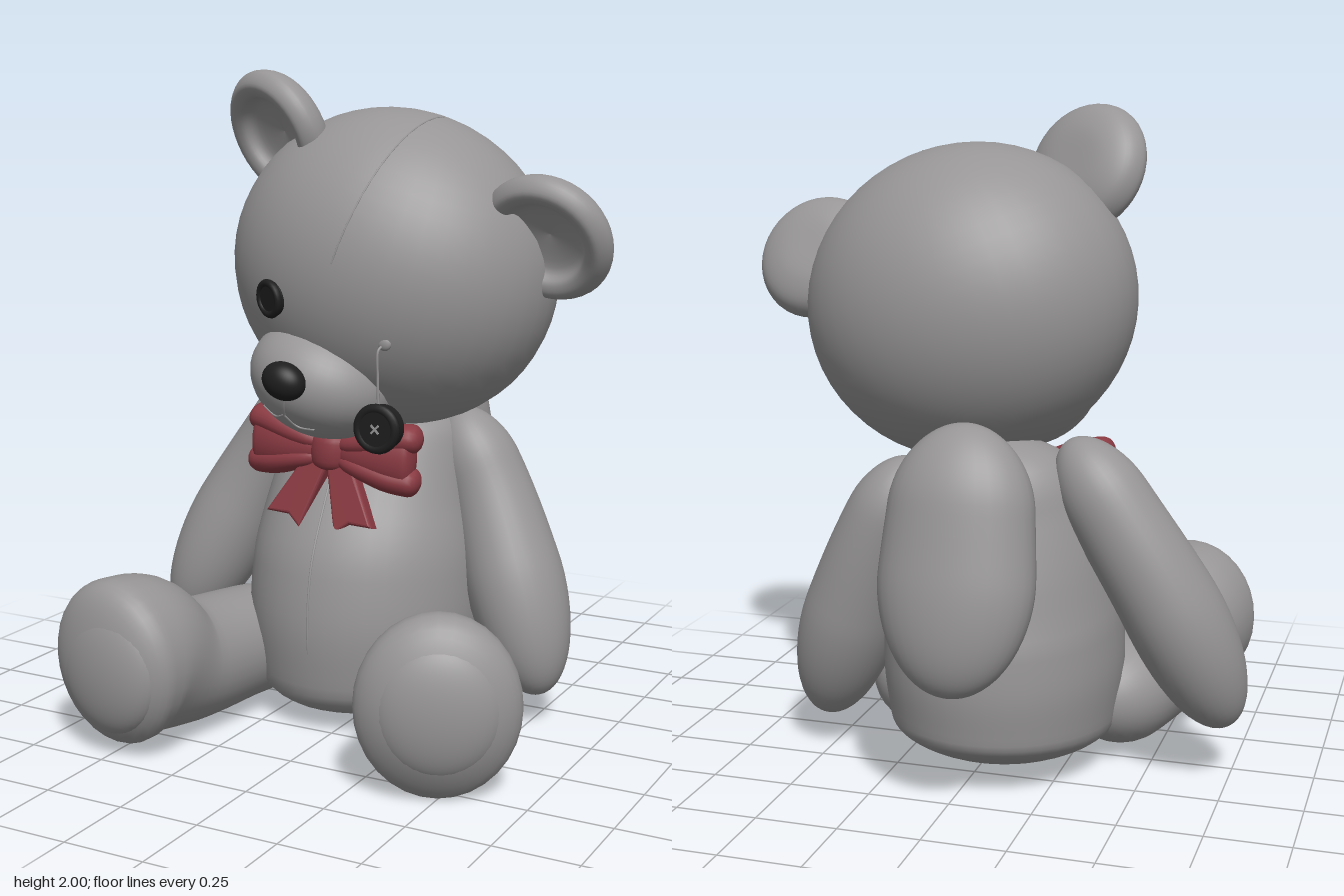
import * as THREE from 'three';

const mat = (name, color) => {
  const m = new THREE.MeshStandardMaterial({ color });
  m.name = name;
  return m;
};
const V = (x, y, z) => new THREE.Vector3(x, y, z);

export function createModel() {
  const plush = mat('grey plush', 0x979595);
  const black = mat('button black', 0x1e1e1e);
  const red = mat('bow red', 0x8a3a42);
  const bear = new THREE.Group();
  bear.name = 'teddyBear';

  const add = (parent, name, geo, material, pos = [0, 0, 0], rot = [0, 0, 0]) => {
    const m = new THREE.Mesh(geo, material);
    m.name = name;
    m.position.set(...pos);
    m.rotation.set(...rot);
    parent.add(m);
    return m;
  };
  const ball = (rx, ry, rz) => new THREE.SphereGeometry(1, 40, 28).scale(rx, ry, rz);

  // Stuffed limb: elliptical rings swept along a path, with rounded ends.
  // Each row is [x, y, z, radiusA, radiusB]; cap0 and cap1 are the rounded fractions.
  const stuffed = (rows, ref, cap0, cap1, rings = 40, sides = 32) => {
    const path = new THREE.CatmullRomCurve3(rows.map(r => V(r[0], r[1], r[2])));
    const size = new THREE.CatmullRomCurve3(rows.map(r => V(r[3], r[4], 0)));
    const pos = [], idx = [];
    for (let i = 0; i <= rings; i++) {
      const t = (1 - Math.cos(Math.PI * i / rings)) / 2;
      const c = path.getPoint(t), s = size.getPoint(t), T = path.getTangent(t);
      const U = ref.clone().cross(T).normalize(), W = T.clone().cross(U);
      const d0 = Math.max(0, 1 - t / cap0), d1 = Math.max(0, 1 - (1 - t) / cap1);
      const f = Math.sqrt(Math.max(0, 1 - d0 * d0)) * Math.sqrt(Math.max(0, 1 - d1 * d1));
      for (let j = 0; j < sides; j++) {
        const a = j / sides * Math.PI * 2;
        const p = c.clone().addScaledVector(U, s.x * f * Math.cos(a)).addScaledVector(W, s.y * f * Math.sin(a));
        pos.push(p.x, p.y, p.z);
        if (i === rings) continue;
        const k = (j + 1) % sides, n = i * sides;
        idx.push(n + j, n + k, n + sides + k, n + j, n + sides + k, n + sides + j);
      }
    }
    const g = new THREE.BufferGeometry();
    g.setAttribute('position', new THREE.Float32BufferAttribute(pos, 3));
    g.setIndex(idx);
    g.computeVertexNormals();
    return g;
  };
  const tube = (pts, r) => new THREE.TubeGeometry(new THREE.CatmullRomCurve3(pts), 40, r, 6);
  const Y = V(0, 1, 0), Z = V(0, 0, 1);

  // Body with front seam
  add(bear, 'body', stuffed([
    [-0.05, 0.005, -0.10, 0.31, 0.35], [-0.05, 0.15, -0.09, 0.35, 0.385],
    [-0.05, 0.32, -0.09, 0.37, 0.40], [-0.05, 0.48, -0.10, 0.365, 0.385],
    [-0.05, 0.65, -0.125, 0.335, 0.325], [-0.04, 0.80, -0.15, 0.30, 0.265],
    [-0.03, 0.93, -0.17, 0.26, 0.22], [-0.02, 1.03, -0.17, 0.22, 0.2],
  ], Z, 0.13, 0.2, 48, 40), plush);
  add(bear, 'bellySeam', tube([
    V(-0.05, 0.15, 0.292), V(-0.05, 0.33, 0.309), V(-0.05, 0.52, 0.283),
    V(-0.05, 0.70, 0.198), V(-0.05, 0.84, 0.112)], 0.004), plush);

  // Arms
  add(bear, 'leftArm', stuffed([
    [0.20, 0.95, -0.21, 0.11, 0.12], [0.31, 0.72, -0.21, 0.13, 0.135],
    [0.42, 0.44, -0.17, 0.155, 0.165], [0.54, 0.09, -0.11, 0.17, 0.18],
  ], Z, 0.25, 0.36), plush);
  add(bear, 'rightArm', stuffed([
    [-0.27, 1.03, -0.18, 0.12, 0.12], [-0.43, 0.80, -0.20, 0.135, 0.13],
    [-0.59, 0.53, -0.17, 0.15, 0.155], [-0.745, 0.165, -0.07, 0.17, 0.18],
  ], Z, 0.25, 0.36), plush);

  // Padded lobe on the back
  add(bear, 'backLobe', stuffed([
    [-0.06, 1.13, -0.50, 0.19, 0.125], [-0.06, 0.92, -0.55, 0.21, 0.14],
    [-0.06, 0.66, -0.61, 0.23, 0.145], [-0.06, 0.385, -0.68, 0.235, 0.15],
  ], Z, 0.36, 0.42), plush);

  // Legs with gently domed soles
  add(bear, 'rightLeg', stuffed([
    [-0.33, 0.19, -0.12, 0.17, 0.17], [-0.40, 0.19, 0.15, 0.175, 0.178],
    [-0.445, 0.205, 0.42, 0.185, 0.195], [-0.48, 0.265, 0.60, 0.225, 0.25],
    [-0.507, 0.265, 0.775, 0.23, 0.255],
  ], Y, 0.2, 0.16, 44), plush);
  add(bear, 'rightSole', ball(0.19, 0.205, 0.08), plush, [-0.492, 0.265, 0.702], [0, -0.18, 0]);
  add(bear, 'leftLeg', stuffed([
    [0.18, 0.18, -0.10, 0.17, 0.17], [0.28, 0.18, 0.10, 0.17, 0.165],
    [0.37, 0.19, 0.32, 0.18, 0.18], [0.465, 0.25, 0.48, 0.22, 0.24],
    [0.543, 0.255, 0.64, 0.22, 0.24],
  ], Y, 0.2, 0.16, 44), plush);
  add(bear, 'leftSole', ball(0.182, 0.197, 0.08), plush, [0.513, 0.26, 0.575], [0, 0.44, 0]);

  // Tilted head
  const head = new THREE.Group();
  head.name = 'head';
  head.position.set(0.075, 1.405, -0.025);
  head.rotation.z = -0.33;
  bear.add(head);
  add(head, 'skull', ball(0.51, 0.475, 0.435), plush);
  add(head, 'muzzle', ball(0.225, 0.172, 0.215), plush, [0, -0.332, 0.255]);
  add(head, 'nose', ball(0.068, 0.055, 0.05), black, [-0.012, -0.312, 0.482]);
  const seam = Array.from({ length: 25 }, (_, i) => {
    const a = 0.1 + 1.5 * i / 24;
    return V(0, 0.474 * Math.sin(a), 0.434 * Math.cos(a));
  });
  add(head, 'faceSeam', tube(seam, 0.003), plush);

  // Mouth creases laid on the muzzle
  const onMuzzle = (x, y) => V(x, -0.332 + y,
    0.256 + 0.215 * Math.sqrt(1 - (x / 0.225) ** 2 - (y / 0.172) ** 2));
  add(head, 'philtrum', tube([onMuzzle(0, -0.02), onMuzzle(0, -0.06), onMuzzle(0, -0.09)], 0.004), plush);
  for (const s of [-1, 1])
    add(head, 'mouth', tube([onMuzzle(0, -0.09), onMuzzle(s * 0.04, -0.115), onMuzzle(s * 0.09, -0.105)], 0.004), plush);

  // Cupped ears with a thick padded rim
  const cup = new THREE.SplineCurve([[0, -0.07], [0.1, -0.066], [0.175, -0.035], [0.202, 0.02],
    [0.175, 0.062], [0.135, 0.055], [0.105, 0.015], [0, -0.005]].map(p => new THREE.Vector2(...p)));
  const earGeo = new THREE.LatheGeometry(cup.getPoints(36).map(p => p.setX(Math.max(0, p.x))), 40).rotateX(Math.PI / 2);
  const rightEar = add(head, 'rightEar', earGeo, plush, [-0.43, 0.28, 0.125]);
  rightEar.rotation.set(0.5, -0.28, 0, 'YXZ');
  const leftEar = add(head, 'leftEar', earGeo, plush, [0.46, 0.285, 0.07]);
  leftEar.rotation.set(0.5, 0.08, 0, 'YXZ');

  // Button eyes: one sewn on, one hanging by its thread
  const button = (name, parent, r, depth, pos, rot) => {
    const g = new THREE.Group();
    g.name = name;
    g.position.set(...pos);
    g.rotation.set(...rot);
    parent.add(g);
    add(g, 'buttonDisc', new THREE.CylinderGeometry(r * 0.9, r * 0.9, depth, 32).rotateX(Math.PI / 2), black);
    add(g, 'buttonRim', new THREE.TorusGeometry(r * 0.8, r * 0.2, 10, 32), black, [0, 0, depth * 0.3]);
    return g;
  };
  button('rightEye', head, 0.058, 0.03, [-0.171, -0.13, 0.392], [0.25, -0.38, 0]);
  const loose = button('looseEye', bear, 0.073, 0.055, [0.225, 0.986, 0.37], [0, 0, 0]);
  for (const a of [0.78, -0.78])
    add(loose, 'buttonStitch', new THREE.BoxGeometry(0.034, 0.006, 0.006), plush, [0, 0, 0.028], [0, 0, a]);
  add(bear, 'thread', tube([V(0.235, 1.225, 0.33), V(0.222, 1.21, 0.368), V(0.22, 1.13, 0.37), V(0.222, 1.04, 0.37)], 0.004), plush);
  add(head, 'socket', ball(0.022, 0.022, 0.012), plush, [0.205, -0.118, 0.375]);

  // Bow tie: a full wing with two folds on each side, forked tails and a knot
  const bow = new THREE.Group();
  bow.name = 'bow';
  bow.position.set(-0.05, 0.855, 0.15);
  bow.rotation.z = -0.05;
  bear.add(bow);
  add(bow, 'knot', stuffed([[0, 0.062, 0, 0.06, 0.05], [0, 0, 0.005, 0.066, 0.055], [0, -0.062, 0, 0.058, 0.05]],
    Z, 0.25, 0.25, 16, 24), red);
  for (const s of [-1, 1]) {
    add(bow, 'wing', stuffed([
      [s * 0.02, 0, 0, 0.035, 0.045], [s * 0.11, 0, 0, 0.05, 0.068],
      [s * 0.19, 0, -0.01, 0.06, 0.088], [s * 0.272, 0, -0.025, 0.06, 0.1],
    ], Y, 0.15, 0.12, 20, 28), red);
    for (const y of [0.06, -0.06])
      add(bow, 'wingFold', stuffed([
        [s * 0.02, y * 0.3, 0.01, 0.03, 0.025], [s * 0.11, y * 0.65, 0.01, 0.045, 0.036],
        [s * 0.2, y, -0.01, 0.058, 0.045], [s * 0.29, y * 1.15, -0.03, 0.055, 0.045],
      ], Y, 0.2, 0.12, 18, 20), red);
    const tail = new THREE.Shape([[-0.03, 0], [-0.058, -0.2], [-0.01, -0.185], [0.052, -0.215], [0.03, 0]]
      .map(p => new THREE.Vector2(s * p[0], p[1])));
    const tailGeo = new THREE.ExtrudeGeometry(tail, {
      depth: 0.03, bevelEnabled: true, bevelSize: 0.01, bevelThickness: 0.012, bevelSegments: 3 });
    add(bow, 'tail', tailGeo, red, [s * 0.035, -0.035, -0.01], [-0.25, 0, s * 0.42]);
  }
  return bear;
}
